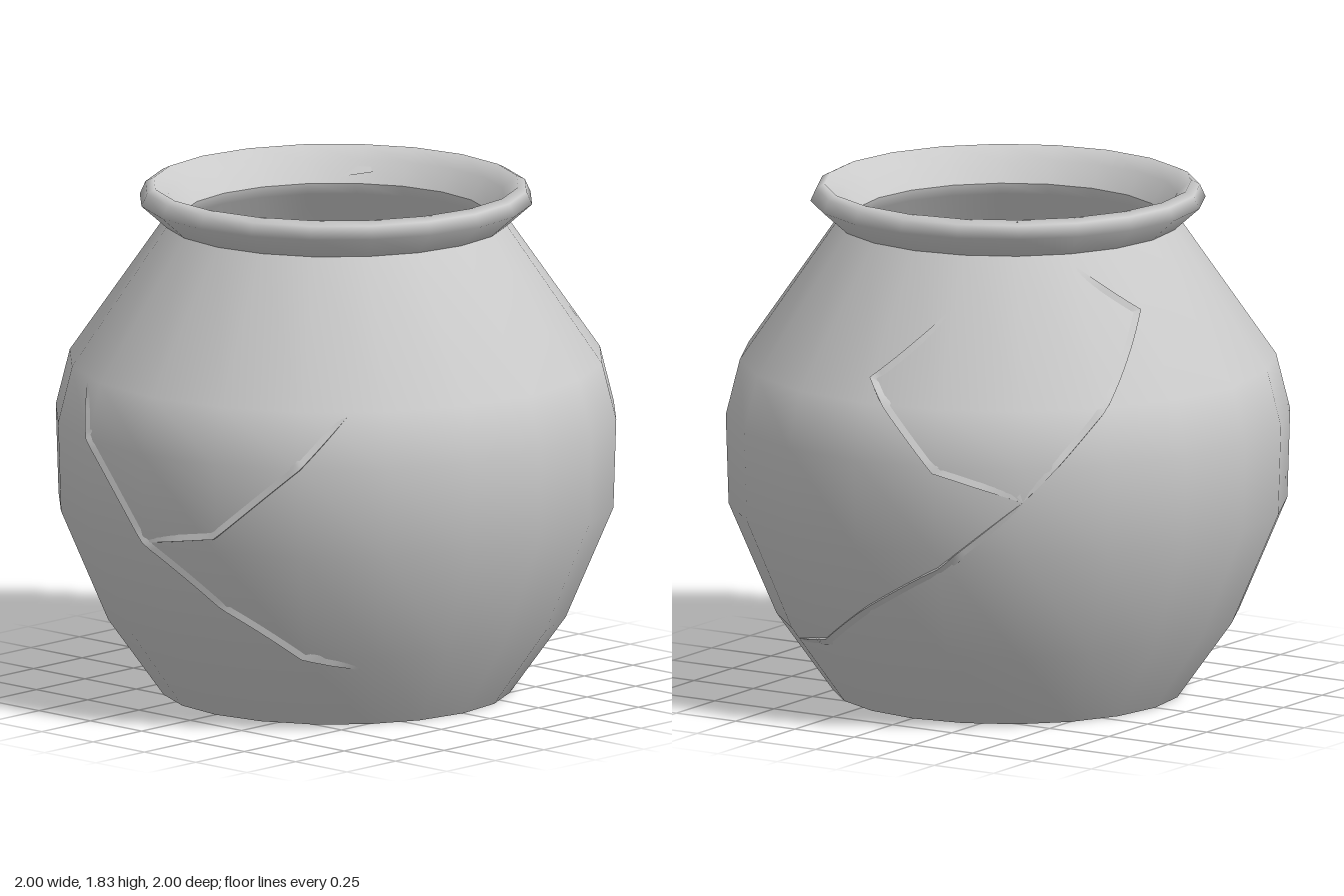
import * as THREE from 'three';

const SIDES = 20;
const material = new THREE.MeshStandardMaterial({ color: 0xcccccc });
const thinMaterial = new THREE.MeshStandardMaterial({ color: 0xcccccc, side: THREE.DoubleSide });

// Profiles as [radius, height]
const BODY = [[0.62, 0], [0.82, 0.28], [0.99, 0.68], [1.0, 1.0], [0.95, 1.2], [0.61, 1.69]];
const RIM = [[0.61, 1.69], [0.70, 1.77], [0.68, 1.815], [0.65, 1.83], [0.6, 1.785], [0.545, 1.71]];
const INSIDE = [[0.545, 1.71], [0.555, 1.67], [0.88, 1.19], [0.93, 1.0], [0.92, 0.68], [0.76, 0.31], [0.57, 0.06]];

// Cracks as [degrees from the front towards +x, height]
const CRACKS = {
  frontCrack: [[-25.6, 1.18], [-18, 1.0], [0, 0.68], [16, 0.47], [35, 0.28], [50, 0.23]],
  frontShardCrack: [[0, 0.68], [17.6, 0.73], [36, 1.0], [45.7, 1.18]],
  backShardLeftCrack: [[197, 1.52], [180, 1.28], [197.5, 0.98], [216, 0.88]],
  backShardRightCrack: [[216, 0.88], [233.6, 1.18], [251.6, 1.49], [235, 1.65]],
  lowerBackCrack: [[216, 0.88], [198, 0.63], [162, 0.29], [144, 0.24]],
};

function lathe(name, profile) {
  const points = profile.map(([r, y]) => new THREE.Vector2(r, y));
  const mesh = new THREE.Mesh(new THREE.LatheGeometry(points, SIDES), material);
  mesh.name = name;
  return mesh;
}

function disc(name, radius, y, up) {
  const geometry = new THREE.CircleGeometry(radius, SIDES);
  geometry.rotateX(up ? -Math.PI / 2 : Math.PI / 2);
  const mesh = new THREE.Mesh(geometry, material);
  mesh.position.y = y;
  mesh.name = name;
  return mesh;
}

// Point on the faceted outer wall
function onWall(degrees, y) {
  let i = 0;
  while (i < BODY.length - 2 && y > BODY[i + 1][1]) i++;
  const [r0, y0] = BODY[i], [r1, y1] = BODY[i + 1];
  const step = 360 / SIDES;
  const offset = ((degrees % step) + step) % step - step / 2;
  const facet = Math.cos(Math.PI / SIDES) / Math.cos(THREE.MathUtils.degToRad(offset));
  const r = THREE.MathUtils.lerp(r0, r1, (y - y0) / (y1 - y0)) * facet;
  const a = THREE.MathUtils.degToRad(degrees);
  return new THREE.Vector3(r * Math.sin(a), y, r * Math.cos(a));
}

function wallNormal(degrees, y) {
  const p = onWall(degrees, y);
  const across = onWall(degrees + 0.5, y).sub(p);
  const along = onWall(degrees, y + 0.01).sub(p);
  return across.cross(along).normalize();
}

// A slightly raised shard edge: a gentle slope with one steep side
function crack(name, path) {
  const positions = [], indices = [];
  const samples = [];
  for (let i = 0; i < path.length - 1; i++) {
    for (let k = 0; k < 10; k++) {
      const t = k / 10;
      samples.push([0, 1].map((c) => THREE.MathUtils.lerp(path[i][c], path[i + 1][c], t)));
    }
  }
  samples.push(path[path.length - 1]);
  samples.forEach(([d, y], i) => {
    const p = onWall(d, y), n = wallNormal(d, y);
    const before = onWall(...samples[Math.max(i - 1, 0)]);
    const after = onWall(...samples[Math.min(i + 1, samples.length - 1)]);
    const side = after.sub(before).normalize().cross(n);
    const height = 0.009 * Math.min(1, i / 5, (samples.length - 1 - i) / 5);
    const slope = p.clone().addScaledVector(side, -0.03).addScaledVector(n, -0.003);
    const crest = p.clone().addScaledVector(n, height);
    const foot = p.clone().addScaledVector(side, 0.003).addScaledVector(n, -0.006);
    for (const v of [slope, crest, crest, foot]) positions.push(v.x, v.y, v.z);
    if (i === 0) return;
    for (const k of [0, 2]) {
      const a = (i - 1) * 4 + k, b = i * 4 + k;
      indices.push(a, a + 1, b, a + 1, b + 1, b);
    }
  });
  const geometry = new THREE.BufferGeometry();
  geometry.setAttribute('position', new THREE.Float32BufferAttribute(positions, 3));
  geometry.setIndex(indices);
  geometry.computeVertexNormals();
  const mesh = new THREE.Mesh(geometry, thinMaterial);
  mesh.name = name;
  return mesh;
}

// Small broken facet on the inside of the rim
function rimChip() {
  const geometry = new THREE.BufferGeometry();
  geometry.setAttribute('position', new THREE.Float32BufferAttribute([
    -0.39, 1.828, -0.54, -0.375, 1.73, -0.41, -0.28, 1.75, -0.485,
  ], 3));
  geometry.computeVertexNormals();
  const mesh = new THREE.Mesh(geometry, thinMaterial);
  mesh.name = 'rimChip';
  return mesh;
}

export function createModel() {
  const pot = new THREE.Group();
  pot.name = 'crackedPot';
  pot.add(
    lathe('body', BODY),
    lathe('rim', RIM),
    lathe('insideWall', INSIDE),
    disc('base', 0.62, 0, false),
    disc('insideFloor', 0.57, 0.06, true),
    rimChip(),
  );
  for (const [name, path] of Object.entries(CRACKS)) pot.add(crack(name, path));
  return pot;
}
